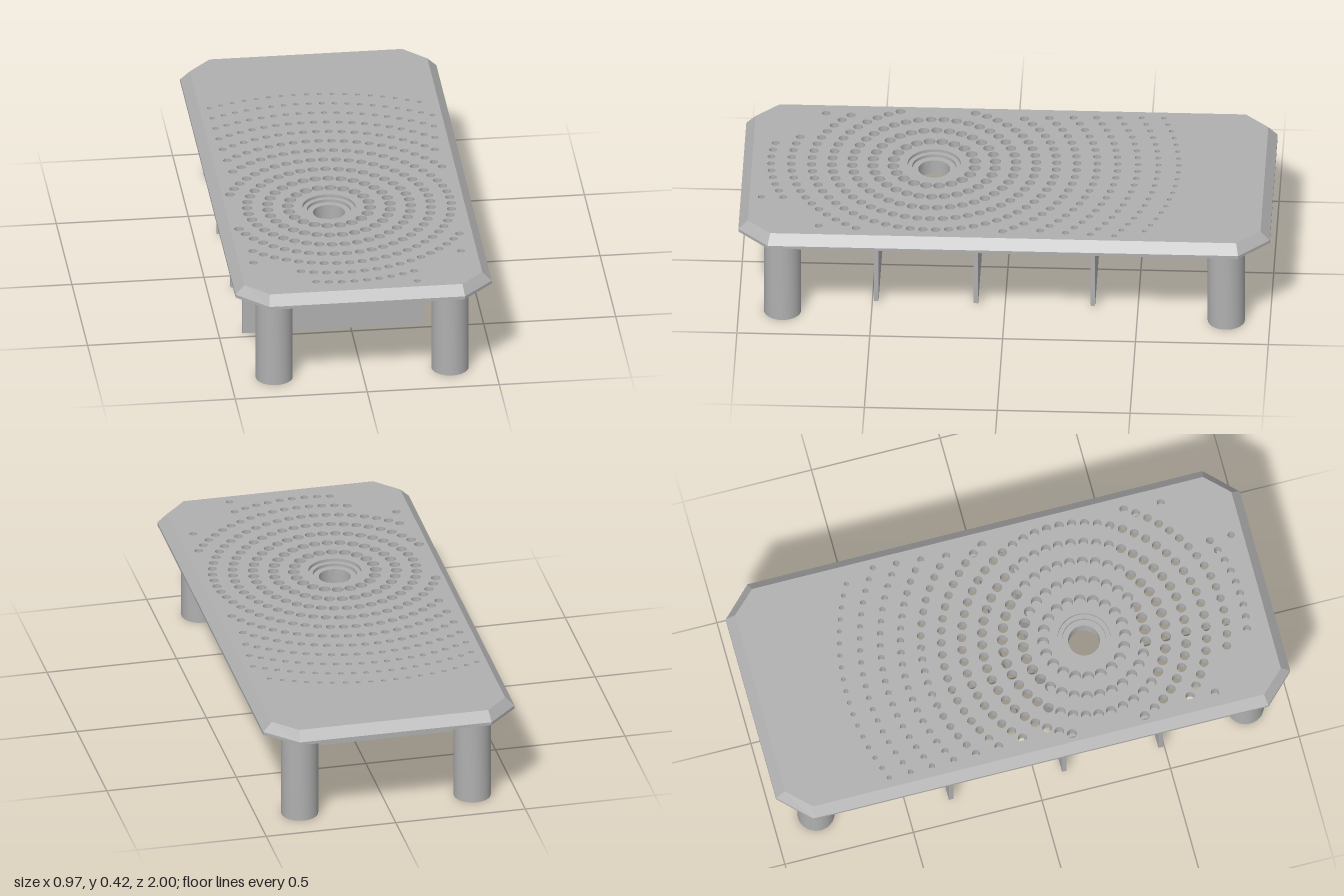
import * as THREE from 'three';
import { toCreasedNormals } from 'three/addons/utils/BufferGeometryUtils.js';

const V = (x, y) => new THREE.Vector2(x, y);
const CENTRE = V(-0.06, 0.28); // x, z of the ring pattern
const LEG_X = 0.333, LEG_Z = 0.835;
const Y = { tray: 0.335, plate: 0.37, edge: 0.382, top: 0.417 };

// Shapes are drawn in (x, -z) and laid flat
const circle = (x, z, r, n) => new THREE.Path(Array.from({ length: n }, (_, i) => {
  const a = (i / n) * Math.PI * 2;
  return V(x + r * Math.cos(a), -z - r * Math.sin(a));
}));
const rectangle = (x0, x1, z0, z1) => new THREE.Path([V(x0, -z0), V(x0, -z1), V(x1, -z1), V(x1, -z0)]);

function slab(shape, y0, y1, curveSegments = 10) {
  const g = new THREE.ExtrudeGeometry(shape, { depth: y1 - y0, bevelEnabled: false, curveSegments });
  g.rotateX(-Math.PI / 2).translate(0, y0, 0);
  return toCreasedNormals(g, 0.7);
}

// Octagon outline, counter-clockwise in shape space
const octagon = (w, d, cx, cz) => [
  V(w, -cz), V(w, cz), V(cx, d), V(-cx, d), V(-w, cz), V(-w, -cz), V(-cx, -d), V(cx, -d),
];

// Perforations: concentric rings whose holes shrink outwards
function ringHoles() {
  const holes = [];
  for (let i = 0; i < 11; i++) {
    const r = 0.155 + 0.0765 * i, n = 20 + 10 * i, size = 0.0225 - 0.0013 * i;
    for (let k = 0; k < n; k++) {
      const a = ((k + 0.5) / n) * Math.PI * 2;
      const x = CENTRE.x + r * Math.sin(a), z = CENTRE.y - r * Math.cos(a);
      const legGap = Math.hypot(Math.abs(x) - LEG_X, Math.abs(z) - LEG_Z);
      if (Math.abs(x) < 0.418 && z < 0.922 && legGap > 0.115) holes.push(circle(x, z, size, 12));
    }
  }
  return holes;
}

// Sloped border joining the inner and outer octagons
function borderGeometry(inner, outer) {
  const loops = [[inner, Y.top], [outer, Y.edge], [outer, Y.plate], [inner, Y.plate]];
  const pos = [];
  for (let l = 0; l < 3; l++) {
    for (let i = 0; i < 8; i++) {
      const at = (m, j) => [loops[m][0][j % 8].x, loops[m][1], -loops[m][0][j % 8].y];
      const a = at(l, i), b = at(l + 1, i), c = at(l + 1, i + 1), d = at(l, i + 1);
      pos.push(...a, ...b, ...c, ...a, ...c, ...d);
    }
  }
  const g = new THREE.BufferGeometry();
  g.setAttribute('position', new THREE.Float32BufferAttribute(pos, 3));
  g.computeVertexNormals();
  return g;
}

// Rounded tray outline with a notch in the back edge
function trayShape() {
  const w = 0.412, d = 0.915, r = 0.08, s = new THREE.Shape();
  s.moveTo(-w + r, -d);
  s.lineTo(w - r, -d);
  s.absarc(w - r, -d + r, r, -Math.PI / 2, 0);
  s.lineTo(w, d - r);
  s.absarc(w - r, d - r, r, 0, Math.PI / 2);
  s.lineTo(0.14, d);
  s.lineTo(0.14, d - 0.04);
  s.lineTo(-0.14, d - 0.04);
  s.lineTo(-0.14, d);
  s.lineTo(-w + r, d);
  s.absarc(-w + r, d - r, r, Math.PI / 2, Math.PI);
  s.lineTo(-w, -d + r);
  s.absarc(-w + r, -d + r, r, Math.PI, Math.PI * 1.5);
  s.holes.push(rectangle(-0.38, 0.38, -0.32, 0.1));
  s.holes.push(rectangle(-0.38, 0.38, 0.495, 0.855));
  s.holes.push(circle(CENTRE.x, CENTRE.y, 0.06, 40));
  return s;
}

export function createModel() {
  const group = new THREE.Group();
  const grey = new THREE.MeshStandardMaterial({ color: 0xb0b0b0 });
  grey.name = 'plain grey';
  const add = (name, geometry, x = 0, y = 0, z = 0) => {
    const mesh = new THREE.Mesh(geometry, grey);
    mesh.name = name;
    mesh.position.set(x, y, z);
    group.add(mesh);
  };

  // Perforated top with its bevelled border
  const inner = octagon(0.45, 0.965, 0.365, 0.877);
  const outer = octagon(0.485, 1, 0.37, 0.885);
  const plate = new THREE.Shape(inner);
  plate.holes.push(circle(CENTRE.x, CENTRE.y, 0.1, 48), ...ringHoles());
  add('perforatedTop', slab(plate, Y.plate, Y.top));
  add('bevelledBorder', borderGeometry(inner, outer));

  // Stepped ring in the central opening
  const step = [[0.1, 0.37], [0.1, 0.405], [0.083, 0.405], [0.083, 0.393], [0.06, 0.393], [0.06, 0.37], [0.1, 0.37]];
  const ring = new THREE.LatheGeometry(step.map(([r, y]) => V(r, y)).reverse(), 48);
  ring.scale(1, 1, 1);
  const ringMesh = toCreasedNormals(ring, 0.6);
  flipIfInward(ringMesh);
  add('centreRing', ringMesh, CENTRE.x, 0, CENTRE.y);

  // Tray under the top
  add('tray', slab(trayShape(), Y.tray, Y.plate));

  // Cross panels
  for (const z of [0.485, 0.11, -0.33]) {
    add('crossPanel', new THREE.BoxGeometry(0.688, 0.358, 0.018), -0.069, 0.191, z);
  }

  // Legs with a blind hole in each foot
  const profile = [[0, 0.06], [0.03, 0.06], [0.03, 0], [0.07, 0], [0.07, 0.37]].map(([r, y]) => V(r, y));
  const leg = toCreasedNormals(new THREE.LatheGeometry(profile, 32), 0.6);
  flipIfInward(leg);
  for (const sx of [-1, 1]) for (const sz of [-1, 1]) add('leg', leg, sx * LEG_X, 0, sz * LEG_Z);

  return group;
}

// Makes a lathed part face outwards, judged by its signed volume
function flipIfInward(g) {
  const p = g.attributes.position, n = g.attributes.normal;
  const a = new THREE.Vector3(), b = new THREE.Vector3(), c = new THREE.Vector3();
  let volume = 0;
  for (let i = 0; i < p.count; i += 3) {
    a.fromBufferAttribute(p, i);
    b.fromBufferAttribute(p, i + 1);
    c.fromBufferAttribute(p, i + 2);
    volume += a.dot(b.cross(c));
  }
  if (volume >= 0) return;
  for (let i = 0; i < p.count; i += 3) {
    for (const t of [p, n]) {
      a.fromBufferAttribute(t, i);
      b.fromBufferAttribute(t, i + 1);
      t.setXYZ(i, b.x, b.y, b.z);
      t.setXYZ(i + 1, a.x, a.y, a.z);
    }
  }
  for (let i = 0; i < n.count; i++) n.setXYZ(i, -n.getX(i), -n.getY(i), -n.getZ(i));
}
